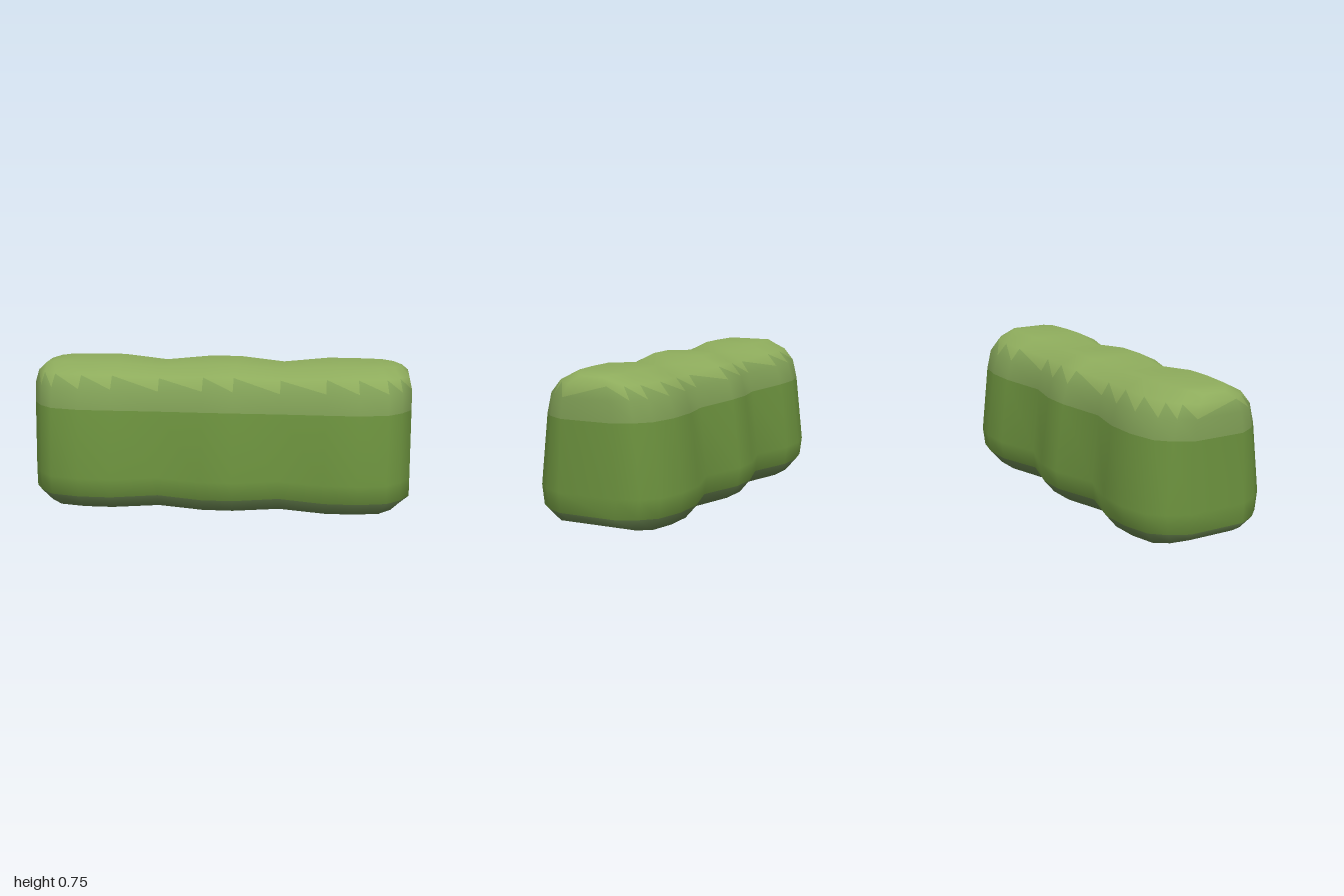
import * as THREE from 'three';

// Plan outline of one quarter, from the end to the middle: [x, half depth]
const PLAN = [[1, 0.16], [0.95, 0.26], [0.88, 0.335], [0.73, 0.373], [0.56, 0.373], [0.32, 0.295], [0.08, 0.373]];

// Rings from bottom to top: [height, depth scale, x of the end, height change at the end]
const RINGS = [
  [0, 0.8, 0.95, 0.02],
  [0.07, 0.96, 1, 0],
  [0.17, 1, 1, 0],
  [0.53, 0.88, 1, 0],
  [0.635, 0.805, 1, 0],
  [0.7, 0.657, 0.985, 0],
  [0.75, 0.38, 0.95, -0.015],
];

export function createModel() {
  const group = new THREE.Group();

  // Closed outline, counter-clockwise seen from above
  const front = [...PLAN.map(([x, z]) => [-x, z]), ...[...PLAN].reverse()];
  const outline = [...front, ...[...front].reverse().map(([x, z]) => [x, -z])];
  const n = outline.length, half = front.length;

  const positions = [];
  for (const [height, depth, endX, endLift] of RINGS) {
    for (const [px, pz] of outline) {
      const ax = Math.abs(px);
      const x = ax > 0.56 ? 0.56 + (ax - 0.56) * (endX - 0.56) / 0.44 : ax;
      let y = height;
      if (ax === 0.32) y *= 0.973; // pinch between the lobes
      if (ax === 1) y += endLift;
      if (ax === 0.95) y += endLift * 0.3;
      positions.push(Math.sign(px) * x, y, pz * depth);
    }
  }

  // Faces sorted by leaf colour
  const faces = { base: [], body: [], shoulder: [], crown: [] };
  const bands = ['base', 'body', 'body', 'shoulder', 'jagged', 'crown'];
  bands.forEach((band, k) => {
    for (let i = 0; i < n; i++) {
      const j = (i + 1) % n;
      const a = k * n + i, b = k * n + j, c = b + n, d = a + n;
      if (band !== 'jagged') {
        faces[band].push(a, b, d, b, c, d);
      } else if (i === half - 1 || i === n - 1) {
        // zigzag colour border, slanting the other way on the ends
        faces.shoulder.push(a, b, c);
        faces.crown.push(a, c, d);
      } else {
        faces.shoulder.push(a, b, d);
        faces.crown.push(b, c, d);
      }
    }
  });

  // Flat top and underside
  const top = (RINGS.length - 1) * n;
  for (let i = 0; i < half - 1; i++) {
    const a = i, b = i + 1, c = n - 2 - i, d = n - 1 - i;
    faces.crown.push(top + a, top + b, top + c, top + a, top + c, top + d);
    faces.base.push(a, c, b, a, d, c);
  }

  // Shared smooth normals across all the colour bands
  const whole = new THREE.BufferGeometry();
  whole.setAttribute('position', new THREE.Float32BufferAttribute(positions, 3));
  whole.setIndex(Object.values(faces).flat());
  whole.computeVertexNormals();

  const colors = { base: 0x5f7848, body: 0x6c923e, shoulder: 0x809f56, crown: 0x8eac5c };
  for (const [part, index] of Object.entries(faces)) {
    const geometry = whole.clone();
    geometry.setIndex(index);
    const mesh = new THREE.Mesh(geometry, new THREE.MeshStandardMaterial({ color: colors[part] }));
    mesh.name = 'hedge ' + part;
    group.add(mesh);
  }
  group.name = 'hedge';
  return group;
}
